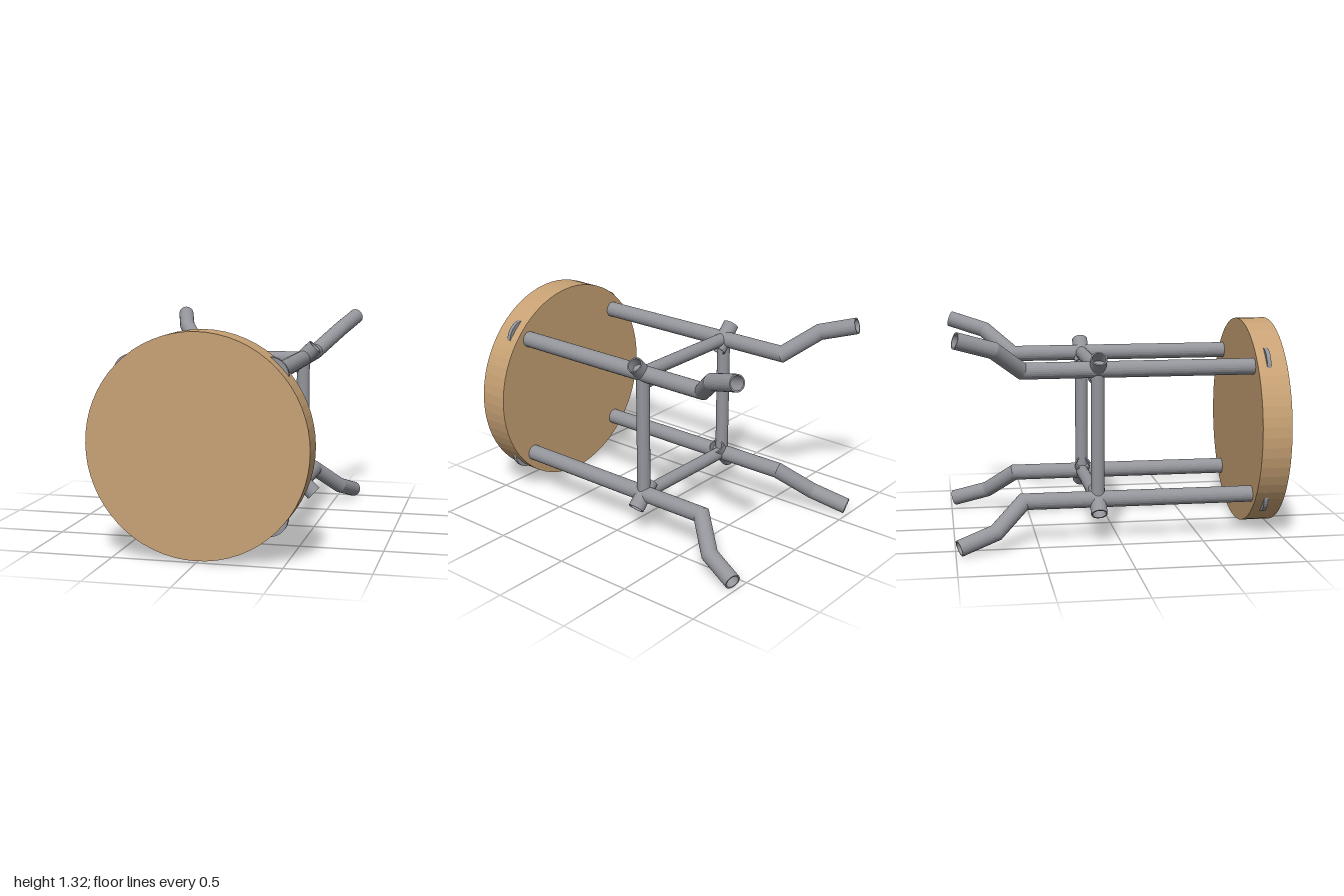
import * as THREE from 'three';

const CY = 0.662;    // height of the stool's axis
const LEG = 0.397;   // leg offset from the axis in x and y
const BRACE_Z = -0.135;

const metal = new THREE.MeshStandardMaterial({ color: 0x93959b, flatShading: true, side: THREE.DoubleSide });
const wood = new THREE.MeshStandardMaterial({ color: 0xc8a275, flatShading: true });

// Hollow mitred pipe along a path of [radial distance, z] in the plane of direction d
function pipe(path, d, r, wall) {
  const pts = path.map(([s, z]) => new THREE.Vector3(d.x * s, CY + d.y * s, z));
  const n = pts.length;
  const side = new THREE.Vector3().crossVectors(d, new THREE.Vector3(0, 0, -1));
  const segU = pts.slice(1).map((p, i) =>
    new THREE.Vector3().crossVectors(p.clone().sub(pts[i]).normalize(), side).normalize());
  const mitre = pts.map((p, i) => {
    const a = segU[Math.max(i - 1, 0)], b = segU[Math.min(i, n - 2)];
    return a.clone().add(b).divideScalar(1 + a.dot(b));
  });
  // Closed wall profile whose y counts the path points
  const profile = [];
  for (let i = 0; i < n; i++) profile.push(new THREE.Vector2(r, i));
  for (let i = n - 1; i >= 0; i--) profile.push(new THREE.Vector2(r - wall, i));
  profile.push(new THREE.Vector2(r, 0));
  const geo = new THREE.LatheGeometry(profile, 24);
  const pos = geo.attributes.position;
  for (let k = 0; k < pos.count; k++) {
    const i = Math.round(pos.getY(k));
    const v = pts[i].clone().addScaledVector(mitre[i], pos.getX(k)).addScaledVector(side, pos.getZ(k));
    pos.setXYZ(k, v.x, v.y, v.z);
  }
  geo.computeVertexNormals();
  return geo;
}

export function createModel() {
  const group = new THREE.Group();
  const add = (name, geo, mat = metal) => {
    const mesh = new THREE.Mesh(geo, mat);
    mesh.name = name;
    group.add(mesh);
    return mesh;
  };

  // Round seat, facing the front
  const seat = add('seat', new THREE.CylinderGeometry(0.648, 0.648, 0.18, 64), wood);
  seat.rotation.x = Math.PI / 2;
  seat.position.set(0, CY, 0.91);

  const R2 = Math.SQRT2;
  for (const sx of [1, -1]) for (const sy of [1, -1]) {
    const d = new THREE.Vector3(sx, sy, 0).normalize();
    const name = (sy > 0 ? 'upper' : 'lower') + (sx > 0 ? 'Left' : 'Right');

    // Bent leg with splayed foot
    add(name + 'Leg', pipe([[LEG * R2, 0.89], [LEG * R2, -0.585], [0.541 * R2, -0.76], [0.61 * R2, -0.98]],
      d, 0.05, 0.009));

    // Short open sleeve crossing the leg
    add(name + 'Sleeve', pipe([[0.335 * R2, BRACE_Z], [0.472 * R2, BRACE_Z]], d, 0.05, 0.009));

    // Mounting plate let into the seat
    const plate = add(name + 'Plate', new THREE.CylinderGeometry(0.112, 0.112, 0.025, 32));
    plate.rotation.x = Math.PI / 2;
    plate.position.set(sx * LEG, CY + sy * LEG, 0.888);
  }

  // Square of braces between the legs
  for (const s of [1, -1]) {
    const geo = new THREE.CylinderGeometry(0.041, 0.041, LEG * 2, 24);
    add(s > 0 ? 'leftBrace' : 'rightBrace', geo).position.set(s * LEG, CY, BRACE_Z);
    const cross = add(s > 0 ? 'upperBrace' : 'lowerBrace', geo);
    cross.rotation.z = Math.PI / 2;
    cross.position.set(0, CY + s * LEG, BRACE_Z);
  }
  return group;
}
